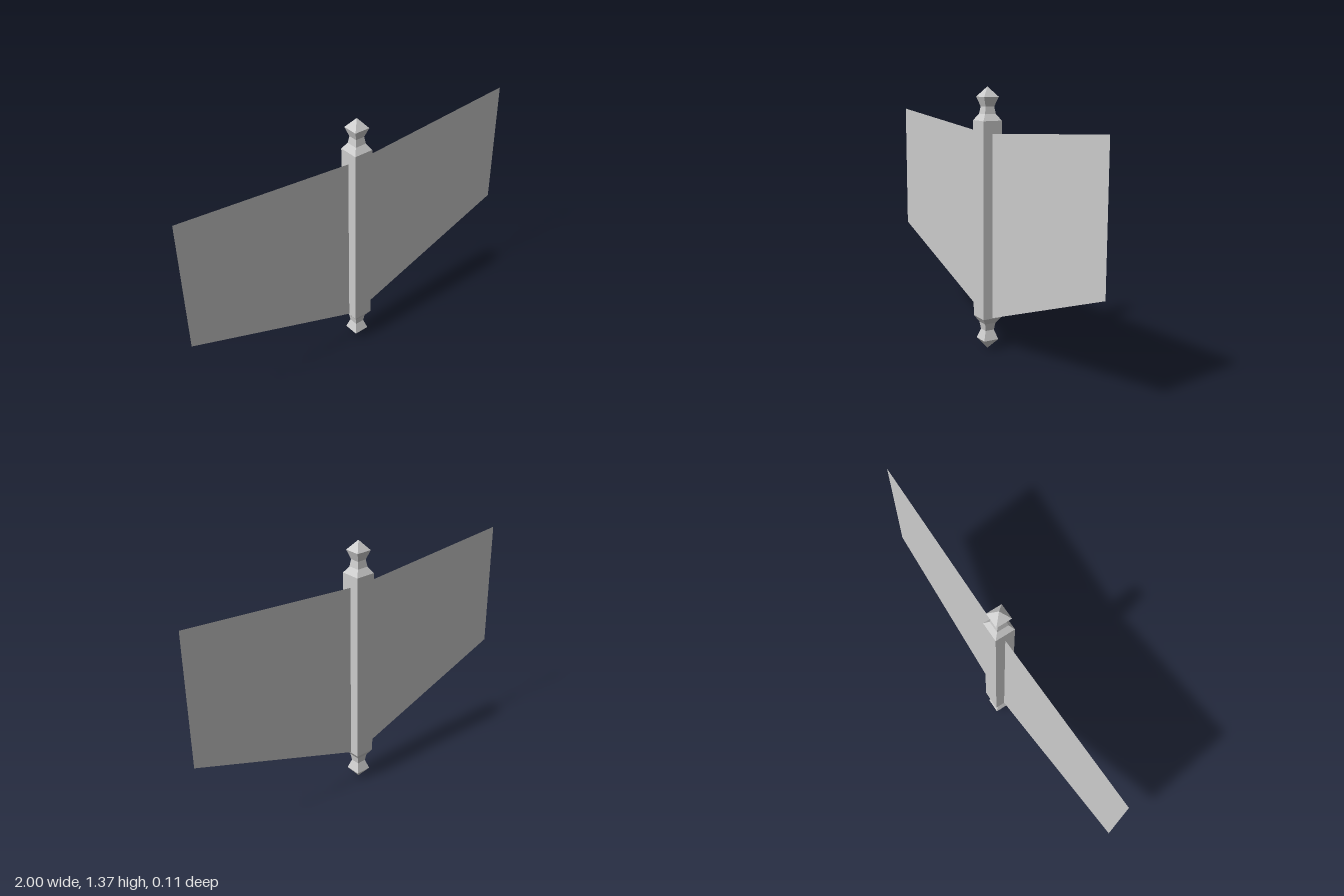
import * as THREE from 'three';

const stone = new THREE.MeshStandardMaterial({ color: 0xcccccc, side: THREE.DoubleSide });
stone.name = 'lightGrey';

// Square turned section: [half width, height] pairs from bottom to top
function squareTurned(name, profile) {
  const points = profile.map(([w, y]) => new THREE.Vector2(w * Math.SQRT2, y));
  const geometry = new THREE.LatheGeometry(points, 4).rotateY(Math.PI / 4).toNonIndexed();
  geometry.computeVertexNormals();
  const mesh = new THREE.Mesh(geometry, stone);
  mesh.name = name;
  return mesh;
}

export function createModel() {
  const group = new THREE.Group();
  group.name = 'postWithPanels';
  const half = 0.053, low = 0.175, high = 1.203;

  // Square post
  const post = new THREE.Mesh(new THREE.BoxGeometry(half * 2, high - low, half * 2), stone);
  post.name = 'post';
  post.position.y = (low + high) / 2;
  group.add(post);

  // Pointed finials at both ends
  group.add(squareTurned('topFinial', [
    [half, high], [0.031, 1.236], [0.025, 1.273], [0.042, 1.321], [0, 1.372],
  ]));
  group.add(squareTurned('bottomFinial', [
    [0, 0], [0.042, 0.053], [0.025, 0.104], [0.031, 0.142], [half, low],
  ]));

  // Flat tapering panels, mirrored left and right
  for (const side of [1, -1]) {
    const outline = new THREE.Shape([
      [half, 0.178], [1, 0.513], [1, 1.21], [half, 1.138],
    ].map(([x, y]) => new THREE.Vector2(side * x, y)));
    const panel = new THREE.Mesh(new THREE.ShapeGeometry(outline), stone);
    panel.name = side > 0 ? 'leftPanel' : 'rightPanel';
    group.add(panel);
  }
  return group;
}
